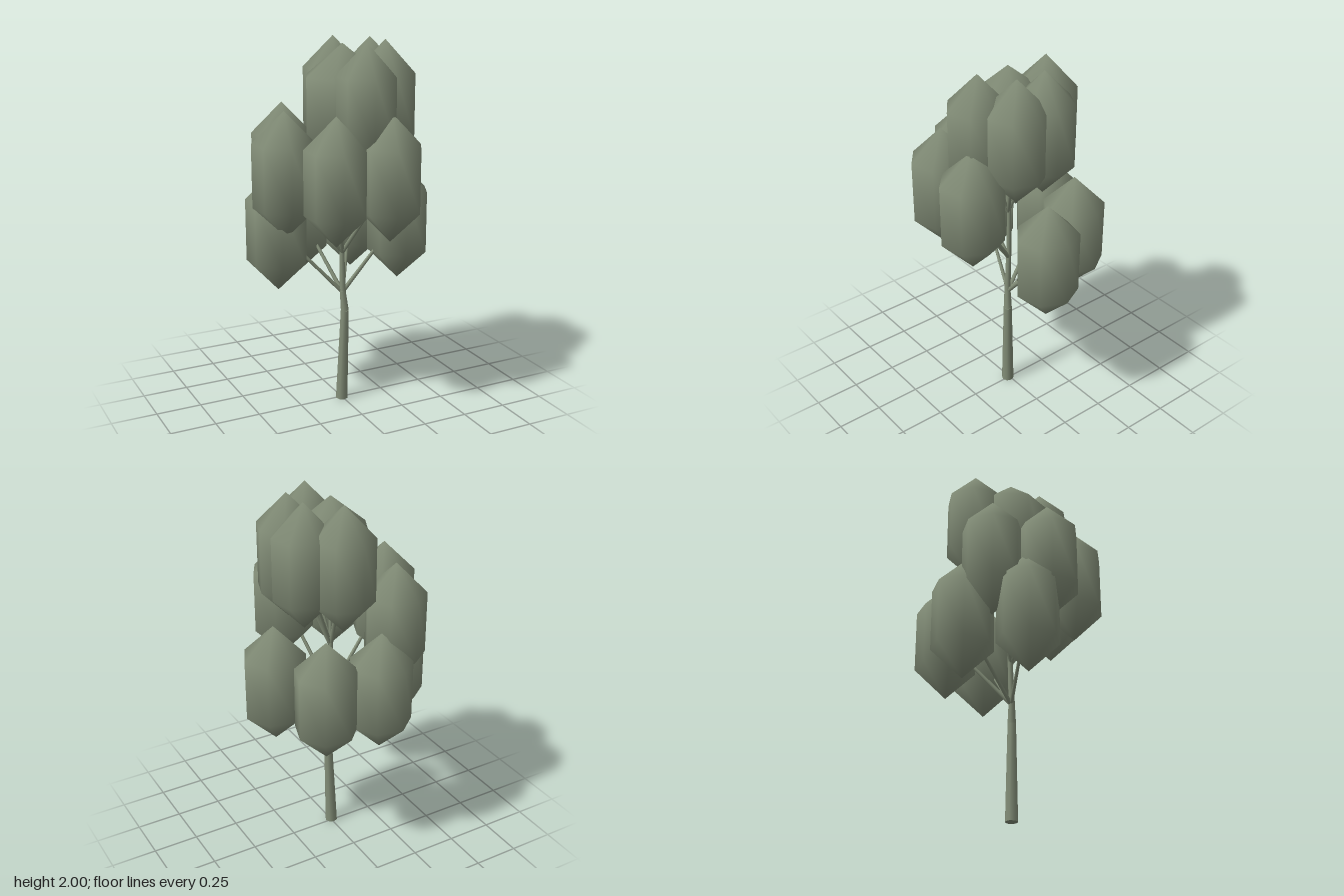
import * as THREE from 'three';

export function createModel() {
  const tree = new THREE.Group();
  tree.name = 'tree';
  const grayGreen = new THREE.MeshStandardMaterial({ color: 0x838e78 });
  grayGreen.name = 'grayGreen';

  const add = (name, geometry) => {
    const mesh = new THREE.Mesh(geometry, grayGreen);
    mesh.name = name;
    tree.add(mesh);
    return mesh;
  };

  // Tapered limb between two points
  const limb = (name, from, to, r0, r1, sides) => {
    const a = new THREE.Vector3(...from), b = new THREE.Vector3(...to);
    const dir = b.clone().sub(a);
    const mesh = add(name, new THREE.CylinderGeometry(r1, r0, dir.length(), sides));
    mesh.position.copy(a).add(b).multiplyScalar(0.5);
    mesh.quaternion.setFromUnitVectors(new THREE.Vector3(0, 1, 0), dir.normalize());
  };

  // Trunk, slightly bent, in four pieces
  const trunk = [
    [-0.004, 0, 0.01, 0.034], [0.01, 0.525, 0.02, 0.023],
    [0, 0.64, 0.014, 0.017], [0, 0.87, 0.005, 0.014], [0.005, 1.5, 0, 0.009],
  ];
  for (let i = 0; i < trunk.length - 1; i++) {
    const p = trunk[i], q = trunk[i + 1];
    limb('trunk' + (i + 1), p.slice(0, 3), q.slice(0, 3), p[3], q[3], 8);
  }

  // Leaf tiers: centre height, branch fork height, then clusters as
  // x, z, direction of one corner in degrees, ring radius
  const tiers = [
    { name: 'lower', y: 1.005, fork: 0.63, clusters: [
      [0.335, 0.02, 0, 0.168], [0.195, -0.28, -110, 0.168],
      [-0.1, -0.33, -104, 0.168], [-0.34, -0.08, -153, 0.168]] },
    { name: 'middle', y: 1.325, fork: 0.86, clusters: [
      [-0.178, 0.3, 102, 0.164], [0.115, 0.33, 106, 0.165],
      [-0.345, 0.04, 100, 0.168], [-0.24, -0.235, -101, 0.164]] },
    { name: 'top', y: 1.665, fork: 1.15, clusters: [
      [0, 0.01, 180, 0.205], [0.045, -0.195, -97, 0.162],
      [0.03, 0.22, 101, 0.162], [0.195, -0.06, -88, 0.162],
      [0.195, 0.11, 97, 0.162]] },
  ];

  for (const { name, y, fork, clusters } of tiers) {
    clusters.forEach(([x, z, corner, ring], i) => {
      // Tall seven-sided leaf cluster
      const r = ring / Math.sin(Math.PI / 3);
      const leaf = add(name + 'Leaves' + (i + 1), new THREE.SphereGeometry(1, 7, 3));
      leaf.scale.set(r, 0.335, r);
      leaf.rotation.y = THREE.MathUtils.degToRad(180 - corner);
      leaf.position.set(x, y - (ring > 0.2 ? 0.02 : 0), z);
      // Branch holding the cluster
      limb(name + 'Branch' + (i + 1), [0, fork, 0.01], [x, y, z], 0.012, 0.007, 6);
    });
  }
  return tree;
}
